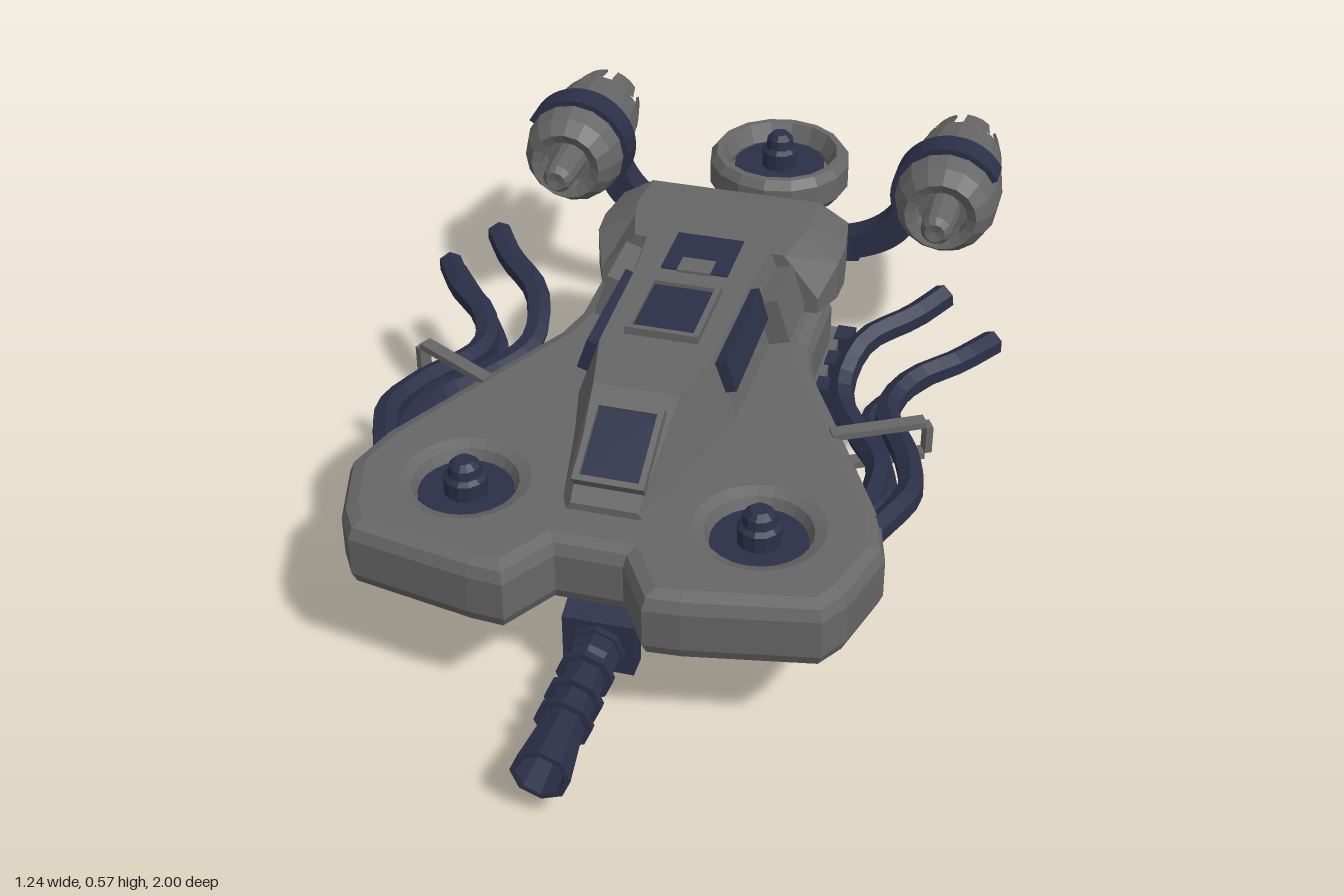
import * as THREE from 'three';

const GREY = 0x666666, BLUE = 0x2b3048;
const mat = (color, side = THREE.FrontSide) => new THREE.MeshStandardMaterial({ color, flatShading: true, side });
const grey = mat(GREY), blue = mat(BLUE);
const greyThin = mat(GREY, THREE.DoubleSide), blueThin = mat(BLUE, THREE.DoubleSide);
const V2 = (a) => a.map(([x, y]) => new THREE.Vector2(x, y));

function add(parent, name, geo, material, x = 0, y = 0, z = 0) {
  const m = new THREE.Mesh(geo, material);
  m.name = name;
  m.position.set(x, y, z);
  parent.add(m);
  return m;
}
const box = (p, name, m, w, h, d, x, y, z) => add(p, name, new THREE.BoxGeometry(w, h, d), m, x, y, z);

// Skin over rings of [x, y] points, each at its z (rising), counter-clockwise from the front
function loft(sections) {
  const pos = [], n = sections[0].ring.length;
  const pt = (i, j) => [...sections[i].ring[j % n], sections[i].z];
  const tri = (...p) => p.forEach((q) => pos.push(...q));
  for (let i = 0; i < sections.length - 1; i++)
    for (let j = 0; j < n; j++) {
      tri(pt(i, j), pt(i, j + 1), pt(i + 1, j + 1));
      tri(pt(i, j), pt(i + 1, j + 1), pt(i + 1, j));
    }
  const e = sections.length - 1;
  for (let j = 1; j < n - 1; j++) {
    tri(pt(0, 0), pt(0, j + 1), pt(0, j));
    tri(pt(e, 0), pt(e, j), pt(e, j + 1));
  }
  const g = new THREE.BufferGeometry();
  g.setAttribute('position', new THREE.Float32BufferAttribute(pos, 3));
  g.computeVertexNormals();
  return g;
}

// Plan outline [x, z] raised between two heights
function slab(half, y0, y1, bevel, holes = []) {
  const pts = [...half, ...half.map(([x, z]) => [-x, z]).reverse()].map(([x, z]) => [x, -z]);
  const s = new THREE.Shape(V2(pts));
  holes.forEach(([x, z, r]) => s.holes.push(new THREE.Path().absarc(x, -z, r, 0, Math.PI * 2, true)));
  const g = new THREE.ExtrudeGeometry(s, {
    depth: y1 - y0 - 2 * bevel, bevelEnabled: bevel > 0, bevelSize: bevel, bevelOffset: -bevel,
    bevelThickness: bevel, bevelSegments: 2, curveSegments: 12,
  });
  return g.rotateX(-Math.PI / 2).translate(0, y0 + bevel, 0);
}

// Framed panel lying on the spine
function hatch(root, name, y, z, w, d, tilt) {
  const g = new THREE.Group();
  g.name = name;
  g.position.set(0, y, z);
  g.rotation.x = tilt;
  root.add(g);
  box(g, 'panel', blue, w, 0.012, d, 0, 0, 0);
  for (const s of [-1, 1]) {
    box(g, 'frameSide', grey, 0.012, 0.03, d + 0.024, s * (w / 2 + 0.006), 0, 0);
    box(g, 'frameEnd', grey, w, 0.03, 0.012, 0, 0, s * (d / 2 + 0.006));
  }
}

// Domed hub standing on a fan disc
const hub = (h) => new THREE.LatheGeometry(V2([[0.042, 0], [0.042, h * 0.5], [0.033, h * 0.6], [0.03, h * 0.85], [0.018, h], [0, h]]), 12);

function buildSide(root, s) {
  const side = new THREE.Group();
  side.name = s > 0 ? 'leftSide' : 'rightSide';
  side.scale.x = s;
  root.add(side);

  // Sunken lift fan
  add(side, 'fanFloor', new THREE.CylinderGeometry(0.12, 0.12, 0.1, 24), grey, 0.285, 0.292, 0.55);
  add(side, 'fanDisc', new THREE.CylinderGeometry(0.092, 0.092, 0.02, 24), blue, 0.285, 0.345, 0.55);
  add(side, 'fanHub', hub(0.075), blueThin, 0.285, 0.352, 0.55);

  // Side vent of the spine
  box(side, 'sideVent', blue, 0.03, 0.07, 0.27, 0.137, 0.478, 0.1).rotation.z = 0.32;
  box(side, 'shoulderRail', grey, 0.05, 0.1, 0.2, 0.17, 0.44, -0.13).rotation.z = 0.3;

  // Pipes and the clamp that holds them
  const pipes = [
    [[0.6, 0.345, -0.22], [0.54, 0.345, -0.13], [0.46, 0.335, -0.05], [0.43, 0.325, 0.05], [0.5, 0.34, 0.22], [0.525, 0.35, 0.34], [0.48, 0.35, 0.47]],
    [[0.49, 0.43, -0.24], [0.44, 0.415, -0.17], [0.35, 0.39, -0.08], [0.33, 0.34, 0.03], [0.39, 0.33, 0.15], [0.455, 0.345, 0.27], [0.46, 0.35, 0.41]],
    [[0.575, 0.34, -0.2], [0.45, 0.305, -0.06], [0.395, 0.3, 0.05], [0.45, 0.325, 0.22], [0.485, 0.345, 0.36], [0.45, 0.35, 0.46]],
  ];
  pipes.forEach((p, i) => {
    const c = new THREE.CatmullRomCurve3(p.map((q) => new THREE.Vector3(...q)));
    add(side, 'pipe', new THREE.TubeGeometry(c, 20, i < 2 ? 0.027 : 0.02, 6), blueThin);
  });
  const clamp = new THREE.Group();
  clamp.name = 'pipeClamp';
  clamp.position.set(0.435, 0.345, 0.19);
  clamp.rotation.y = 0.49;
  side.add(clamp);
  for (const y of [-0.037, 0.037]) box(clamp, 'clampBar', grey, 0.19, 0.014, 0.028, 0, y, 0);
  box(clamp, 'clampEnd', grey, 0.014, 0.06, 0.028, 0.102, 0, 0);

  // Curved arm wrapping over the engine
  const [ex, ey] = [0.43, 0.443];
  const arm = new THREE.Shape();
  const deg = Math.PI / 180;
  arm.moveTo(0, 0.25);
  arm.lineTo(0.2, 0.25);
  arm.quadraticCurveTo(0.33, 0.28, 0.365, 0.36);
  arm.absarc(ex, ey, 0.1, 222 * deg, 30 * deg, true);
  arm.absarc(ex, ey, 0.126, 30 * deg, 200 * deg, false);
  arm.quadraticCurveTo(0.27, 0.31, 0.15, 0.3);
  arm.lineTo(0, 0.3);
  add(side, 'engineArm', new THREE.ExtrudeGeometry(arm, { depth: 0.065, bevelEnabled: false, curveSegments: 14 }), blue, 0, 0, -0.67);

  // Engine, its axis running backwards
  const engine = new THREE.Group();
  engine.name = 'engine';
  engine.position.set(ex, ey, 0);
  engine.rotation.x = -Math.PI / 2;
  side.add(engine);
  const shell = [[0, 0.57], [0.058, 0.57], [0.058, 0.535], [0.08, 0.525], [0.105, 0.56], [0.115, 0.6], [0.115, 0.67], [0.1, 0.76], [0.094, 0.8], [0.084, 0.8], [0.07, 0.7], [0, 0.7]];
  add(engine, 'engineShell', new THREE.LatheGeometry(V2(shell), 16), greyThin);
  const nose = [[0, 0.46], [0.022, 0.455], [0.034, 0.47], [0.037, 0.53], [0.037, 0.58]];
  add(engine, 'engineNose', new THREE.LatheGeometry(V2(nose), 12), greyThin);
  for (let i = 0; i < 6; i++) {
    const petal = [[0.094, 0.8], [0.077, 0.868], [0.071, 0.868], [0.084, 0.8]];
    add(engine, 'nozzlePetal', new THREE.LatheGeometry(V2(petal), 3, (i * Math.PI) / 3, 0.72), greyThin);
  }
}

export function createModel() {
  const root = new THREE.Group();
  root.name = 'hoverCraft';

  // Hull
  const plan = [[0.065, 0.69], [0.13, 0.795], [0.2, 0.79], [0.445, 0.745], [0.48, 0.69], [0.52, 0.55], [0.49, 0.44], [0.35, 0.17], [0.27, 0.02], [0.25, -0.06], [0.25, -0.25]];
  add(root, 'hull', slab(plan, 0.24, 0.385, 0.032, [[0.285, 0.55, 0.093], [-0.285, 0.55, 0.093]]), grey);

  // Spine and cab
  const spine = [[-0.25, 0.2, 0.14, 0.52], [-0.04, 0.175, 0.12, 0.52], [0.23, 0.17, 0.115, 0.52], [0.37, 0.135, 0.085, 0.517], [0.59, 0.09, 0.065, 0.4]];
  add(root, 'spine', loft(spine.map(([z, b, t, y]) => ({ z, ring: [[b, 0.36], [t, y], [-t, y], [-b, 0.36]] }))), grey);
  const cowl = [[-0.44, 0.2, 0.17, 0.46, 0.49], [-0.4, 0.25, 0.185, 0.475, 0.515], [-0.3, 0.265, 0.19, 0.475, 0.52], [-0.24, 0.262, 0.18, 0.47, 0.52], [-0.17, 0.235, 0.16, 0.42, 0.515]];
  add(root, 'rearCowl', loft(cowl.map(([z, b, t, ym, y]) => ({ z, ring: [[b, 0.385], [b, ym], [t, y], [-t, y], [-b, ym], [-b, 0.385]] }))), grey);
  box(root, 'cowlUnderside', blue, 0.3, 0.012, 0.15, 0, 0.382, -0.33);
  hatch(root, 'windscreen', 0.463, 0.485, 0.115, 0.145, 0.49);
  hatch(root, 'roofHatch', 0.522, 0.105, 0.125, 0.165, 0);
  box(root, 'roofIntake', blue, 0.14, 0.012, 0.14, 0, 0.518, -0.12);
  box(root, 'intakeLip', grey, 0.07, 0.014, 0.05, 0, 0.519, -0.07);

  // Cargo box with U-shaped ribs
  box(root, 'cargoBox', grey, 0.52, 0.21, 0.59, 0, 0.14, -0.045);
  const U = [[-0.29, 0.25], [-0.29, 0.035], [-0.26, 0], [0.26, 0], [0.29, 0.035], [0.29, 0.25], [0.25, 0.25], [0.25, 0.05], [-0.25, 0.05], [-0.25, 0.25]];
  const ribGeo = new THREE.ExtrudeGeometry(new THREE.Shape(V2(U)), { depth: 0.05, bevelEnabled: false });
  for (let i = 0; i < 6; i++) add(root, 'cargoRib', ribGeo, blue, 0, 0, 0.16 - i * 0.1);

  // Gun under the nose
  const gun = new THREE.Group();
  gun.name = 'gun';
  gun.position.set(0, 0.112, 0);
  root.add(gun);
  const barrel = [[0.05, 0.6], [0.05, 0.7], [0.042, 0.72], [0.042, 0.88], [0.057, 1], [0.046, 1], [0.03, 0.88], [0, 0.88]];
  add(gun, 'barrel', new THREE.LatheGeometry(V2(barrel), 8).rotateX(Math.PI / 2), blueThin);
  for (const z of [0.66, 0.73, 0.8, 0.86])
    add(gun, 'barrelRing', new THREE.CylinderGeometry(0.056, 0.056, 0.014, 8).rotateX(Math.PI / 2), blue, 0, 0, z);
  const breech = [[0.57, 0.055, 0.075], [0.6, 0.07, 0.078], [0.65, 0.07, 0.06]];
  add(gun, 'breech', loft(breech.map(([z, w, t]) => ({ z, ring: [[w, -0.057], [w, t], [-w, t], [-w, -0.057]] }))), blue);
  box(gun, 'gunStrut', blue, 0.07, 0.17, 0.055, 0, 0.05, 0.53);
  box(gun, 'gunNeck', blue, 0.05, 0.05, 0.07, 0, 0, 0.56);
  add(gun, 'gunPivot', new THREE.CylinderGeometry(0.028, 0.028, 0.12, 8).rotateX(Math.PI / 2), grey, 0, 0, 0.52);

  // Tail beam, strut and tail fan
  const tail = [[0.075, -0.41], [0.075, -0.56], [0.24, -0.61], [0.24, -0.67], [0.08, -0.69], [0.08, -0.73]];
  add(root, 'tailBeam', slab(tail, 0.25, 0.305, 0), blue);
  const strut = add(root, 'tailStrut', new THREE.BoxGeometry(0.065, 0.045, 0.21), grey, 0, 0.37, -0.475);
  strut.rotation.x = -0.85;
  const ring = [[0.125, 0.3], [0.145, 0.285], [0.165, 0.31], [0.165, 0.365], [0.15, 0.385], [0.135, 0.385], [0.115, 0.345], [0.125, 0.3]];
  add(root, 'tailFanRing', new THREE.LatheGeometry(V2(ring), 16), greyThin, 0, 0, -0.835);
  add(root, 'tailFanFloor', new THREE.CylinderGeometry(0.125, 0.125, 0.02, 16), grey, 0, 0.32, -0.835);
  add(root, 'tailFanDisc', new THREE.CylinderGeometry(0.107, 0.107, 0.02, 16), blue, 0, 0.338, -0.835);
  add(root, 'tailFanHub', hub(0.085), blueThin, 0, 0.345, -0.835);

  buildSide(root, 1);
  buildSide(root, -1);
  return root;
}
